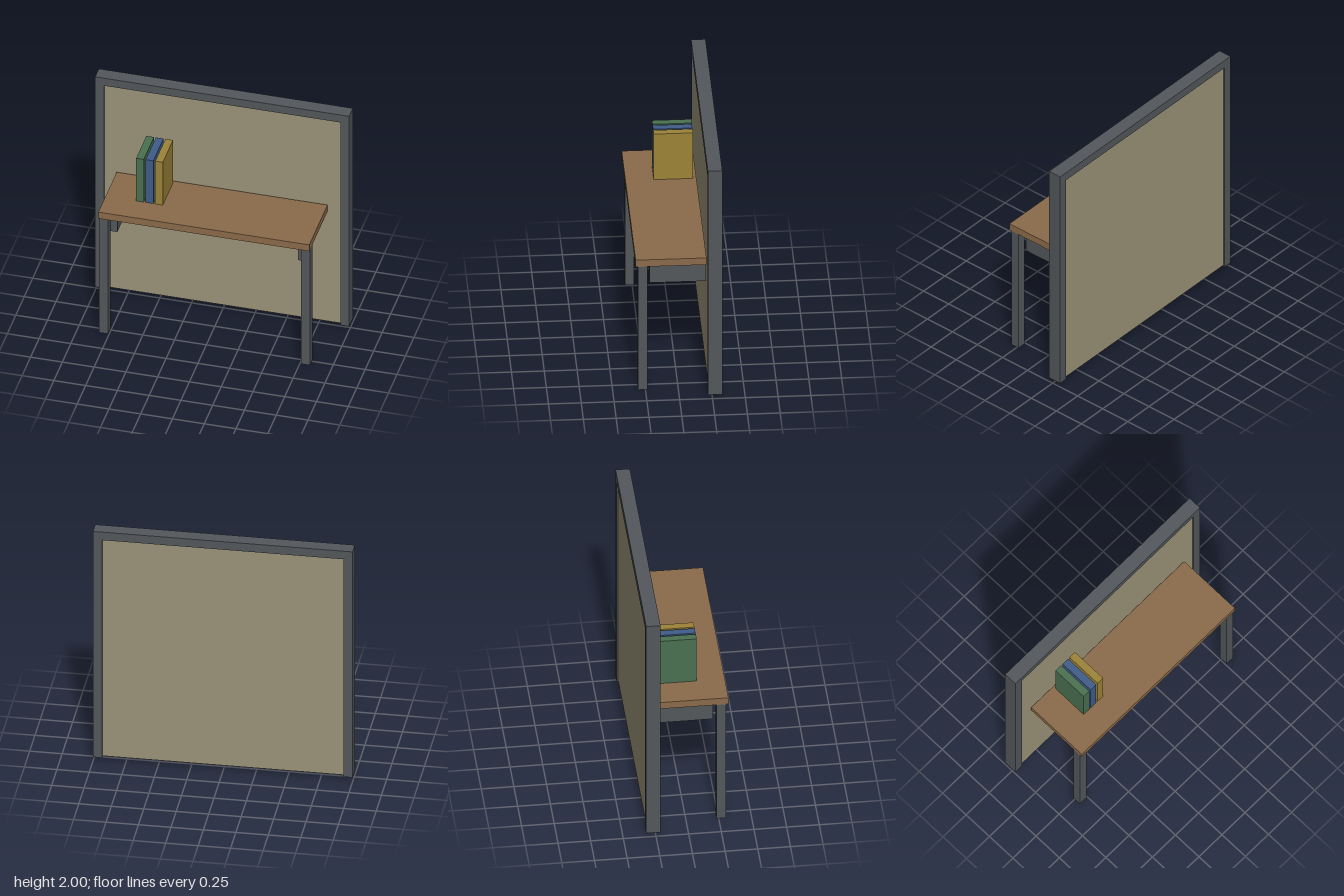
import * as THREE from 'three';

export function createModel() {
  const model = new THREE.Group();
  const paint = (color) => new THREE.MeshStandardMaterial({ color });
  const steel = paint(0x53575b);
  const wood = paint(0x8b6b4a);
  const board = paint(0x9b9278);

  // Box given by its extents along x, y and z
  function box(name, material, [x0, x1], [y0, y1], [z0, z1]) {
    const mesh = new THREE.Mesh(new THREE.BoxGeometry(x1 - x0, y1 - y0, z1 - z0), material);
    mesh.position.set((x0 + x1) / 2, (y0 + y1) / 2, (z0 + z1) / 2);
    mesh.name = name;
    model.add(mesh);
  }

  // Same box on both sides, mirrored across x = 0
  function pair(name, material, [x0, x1], y, z) {
    box(name + 'Left', material, [x0, x1], y, z);
    box(name + 'Right', material, [-x1, -x0], y, z);
  }

  // Partition wall: posts, top rail and slightly recessed panel
  const frameZ = [-0.325, -0.215];
  pair('framePost', steel, [0.93, 1], [0.035, 1.93], frameZ);
  box('frameTopRail', steel, [-1, 1], [1.93, 2], frameZ);
  box('panel', board, [-0.93, 0.93], [0.045, 1.93], [-0.313, -0.227]);

  // Desk: top, front legs and brackets to the wall
  box('deskTop', wood, [-0.83, 0.83], [1.08, 1.14], [-0.215, 0.325]);
  pair('deskLeg', steel, [0.76, 0.83], [0, 1.08], [0.235, 0.305]);
  pair('deskBracket', steel, [0.71, 0.765], [0.9, 1.08], [-0.215, 0.215]);

  // Row of books
  [0x4a7050, 0x3f5c88, 0x9c8338].forEach((color, i) => {
    const x = -0.59 + i * 0.075;
    box('book' + (i + 1), paint(color), [x, x + 0.06], [1.14, 1.54], [-0.19, 0.11]);
  });

  return model;
}
